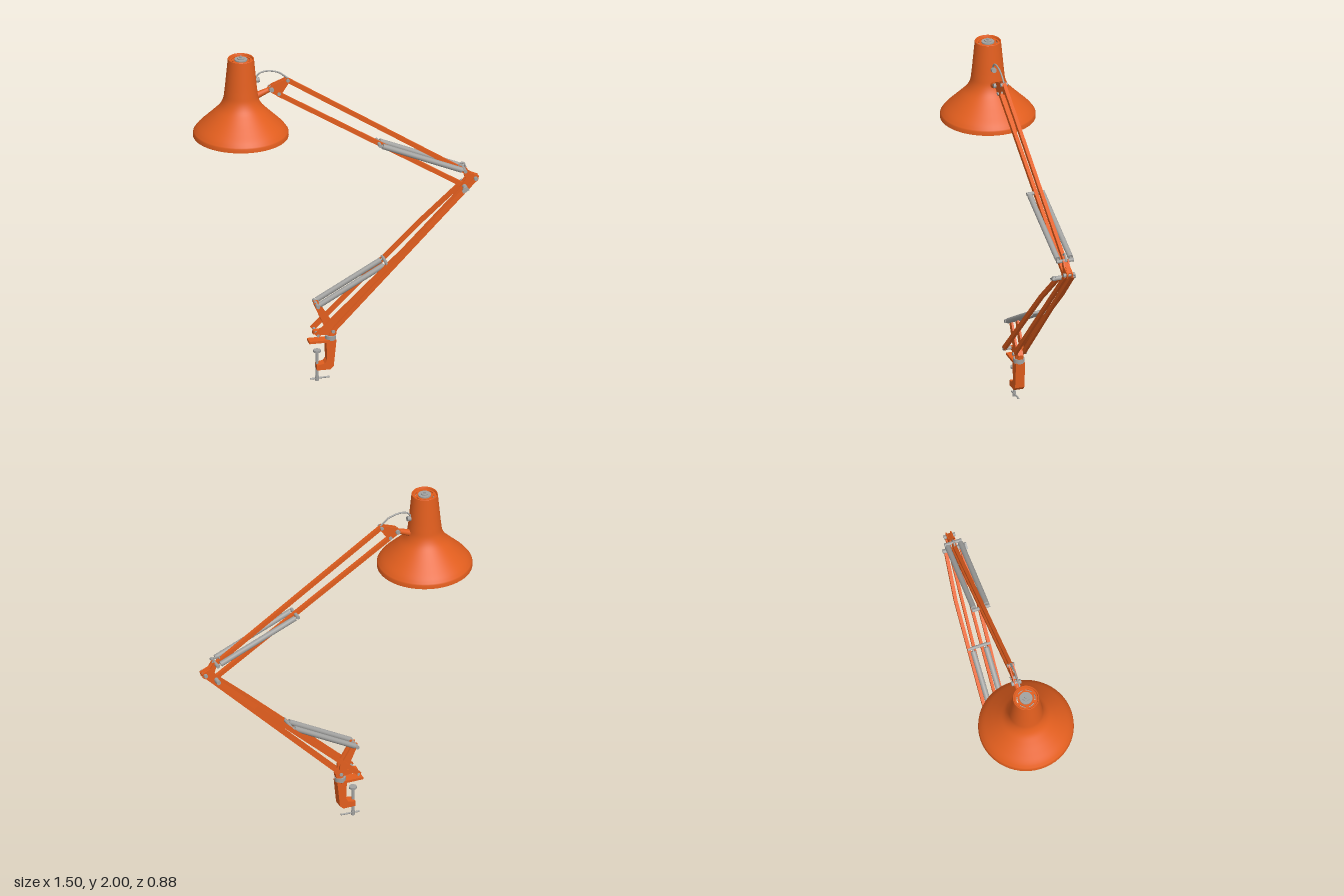
import * as THREE from 'three';

const mat = (name, color) => {
  const m = new THREE.MeshStandardMaterial({ color });
  m.name = name;
  return m;
};

export function createModel() {
  const orange = mat('orange paint', 0xe25e1e);
  const steel = mat('steel', 0xa2a2a0);
  const lining = mat('shade lining', 0xc2c2c0);
  const glass = mat('bulb glass', 0xdededa);

  // The whole lamp lies in one vertical plane, turned about y.
  const turn = Math.atan(0.477), k = 1 / Math.cos(turn);
  const root = new THREE.Group();
  root.name = 'deskLamp';
  const lamp = new THREE.Group();
  lamp.name = 'lamp';
  lamp.rotation.y = turn;
  lamp.position.z = -0.066;
  root.add(lamp);

  // x across the turned plane, y up, w sideways out of the plane
  const V = (x, y, w = 0) => new THREE.Vector3(x * k, y, w);
  const add = (name, geo, material, parent = lamp) => {
    const m = new THREE.Mesh(geo, material);
    m.name = name;
    parent.add(m);
    return m;
  };
  // Square bar between two points
  const bar = (name, a, b, h, t, material = orange) => {
    const d = b.clone().sub(a), len = d.length();
    const X = d.normalize(), Y = new THREE.Vector3(0, 0, 1).cross(X).normalize();
    const Z = X.clone().cross(Y);
    const m = add(name, new THREE.BoxGeometry(len, h, t), material);
    m.quaternion.setFromRotationMatrix(new THREE.Matrix4().makeBasis(X, Y, Z));
    m.position.copy(a).add(b).multiplyScalar(0.5);
  };
  // Round rod between two points
  const rod = (name, a, b, r0, r1 = r0, material = steel) => {
    const m = add(name, new THREE.CylinderGeometry(r1, r0, a.distanceTo(b), 16), material);
    m.position.copy(a).add(b).multiplyScalar(0.5);
    m.quaternion.setFromUnitVectors(new THREE.Vector3(0, 1, 0), b.clone().sub(a).normalize());
  };
  const bolt = (name, x, y, half, r = 0.01) => rod(name, V(x, y, -half), V(x, y, half), r);
  // Flat plate with an outline in the lamp plane
  const plate = (name, pts, w, t) => {
    const s = new THREE.Shape(pts.map(([x, y]) => new THREE.Vector2(x * k, y)));
    const g = new THREE.ExtrudeGeometry(s, { depth: t, bevelEnabled: false });
    g.translate(0, 0, w - t / 2);
    add(name, g, orange);
  };
  // Tightly wound spring with thin hooks at both ends
  const spring = (a, b, r) => {
    rod('springHook', a, b, 0.006);
    rod('spring', a.clone().lerp(b, 0.03), a.clone().lerp(b, 0.96), r);
  };
  const wire = (name, pts) =>
    add(name, new THREE.TubeGeometry(new THREE.CatmullRomCurve3(pts), 24, 0.005, 8), steel);

  // Clamp
  plate('clampBody', [[-0.052, 0.245], [0, 0.245], [-0.014, 0.09], [-0.032, 0.07], [-0.1, 0.07],
    [-0.1, 0.1], [-0.06, 0.108], [-0.048, 0.125]], 0, 0.054);
  plate('clampJaw', [[-0.14, 0.234], [-0.02, 0.234], [-0.02, 0.248], [-0.14, 0.248]], 0, 0.06);
  rod('clampScrew', V(-0.095, 0.012), V(-0.095, 0.18), 0.008);
  rod('clampPad', V(-0.095, 0.172), V(-0.095, 0.184), 0.022);
  rod('clampHandle', V(-0.13, 0.012), V(-0.03, 0.016), 0.005);
  rod('clampScrewEnd', V(-0.095, 0), V(-0.095, 0.026), 0.011);
  rod('swivelCollar', V(-0.025, 0.242), V(-0.025, 0.268), 0.032);

  // Swivel bracket and spring cranks
  rod('swivelPost', V(-0.022, 0.262), V(-0.022, 0.3), 0.024, 0.02, orange);
  plate('swivelBracket', [[-0.118, 0.284], [0, 0.268], [0.004, 0.295], [-0.02, 0.322], [-0.05, 0.308], [-0.115, 0.304]], 0, 0.03);
  bolt('basePin', -0.102, 0.295, 0.064, 0.009);
  bolt('swivelPin', -0.018, 0.3, 0.04, 0.01);
  for (const s of [-1, 1]) {
    plate('springCrank', [[-0.045, 0.29], [-0.012, 0.29], [-0.016, 0.345], [-0.088, 0.475], [-0.112, 0.472], [-0.108, 0.45]], s * 0.018, 0.012);
  }
  bolt('crankPin', -0.1, 0.463, 0.055, 0.011);

  // Lower arm: bowed outer rods and inner rods
  for (const s of [-1, 1]) {
    const path = [V(-0.11, 0.292, s * 0.054), V(0.46, 0.888, s * 0.06), V(0.663, 1.098, s * 0.043)];
    for (let i = 0; i < 2; i++) bar('lowerArmOuterRod', path[i], path[i + 1], 0.024, 0.019);
    bar('lowerArmInnerRod', V(-0.02, 0.3, s * 0.026), V(0.712, 1.13, s * 0.018), 0.024, 0.016);
    spring(V(-0.1, 0.463, s * 0.038), V(0.255, 0.683, s * 0.038), 0.0155);
  }
  bolt('lowerSpringPin', 0.255, 0.683, 0.066, 0.009);

  // Elbow
  for (const s of [-1, 1]) {
    plate('elbowPlate', [[0.636, 1.092], [0.66, 1.078], [0.73, 1.122], [0.736, 1.15], [0.69, 1.172], [0.672, 1.205],
      [0.652, 1.2], [0.668, 1.14]], s * 0.014, 0.008);
  }
  bolt('elbowLowerPin', 0.66, 1.096, 0.06, 0.013);
  bolt('elbowOuterPin', 0.718, 1.138, 0.033, 0.011);
  bolt('elbowSpringPin', 0.66, 1.196, 0.05, 0.01);
  rod('wingNutHub', V(0.655, 1.094, 0.056), V(0.655, 1.094, 0.07), 0.014);
  bar('wingNut', V(0.639, 1.085, 0.074), V(0.671, 1.103, 0.074), 0.015, 0.01, steel);

  // Upper arm
  bar('upperArmTopRod', V(-0.25, 1.832), V(0.722, 1.14), 0.025, 0.02);
  bar('upperArmBottomRod', V(-0.3, 1.755), V(0.66, 1.096), 0.025, 0.02);
  for (const s of [-1, 1]) spring(V(0.222, 1.398, s * 0.038), V(0.66, 1.196, s * 0.038), 0.0155);
  bolt('upperSpringPin', 0.222, 1.398, 0.052, 0.01);

  // Head bracket and shade joint
  for (const s of [-1, 1]) {
    plate('headBracket', [[-0.35, 1.79], [-0.335, 1.768], [-0.295, 1.742], [-0.278, 1.757], [-0.235, 1.83], [-0.25, 1.846],
      [-0.33, 1.812]], s * 0.012, 0.006);
  }
  bolt('headTopPin', -0.248, 1.832, 0.021, 0.01);
  bolt('headBottomPin', -0.294, 1.757, 0.021, 0.01);
  bolt('headTiltPin', -0.333, 1.788, 0.028, 0.013);
  rod('shadeJoint', V(-0.415, 1.75), V(-0.325, 1.79), 0.02, 0.013, orange);

  // Power cord with its gland, and the cord loop at the elbow
  wire('cord', [V(-0.415, 1.855), V(-0.392, 1.886), V(-0.355, 1.896), V(-0.295, 1.882), V(-0.245, 1.84)]);
  wire('cordLoop', [V(0.63, 1.205), V(0.64, 1.228), V(0.658, 1.232), V(0.672, 1.2)]);
  rod('cordGland', V(-0.42, 1.845), V(-0.391, 1.848), 0.014);

  // Shade
  const head = new THREE.Group();
  head.name = 'shade';
  head.position.set(-0.487 * k, 0, 0);
  lamp.add(head);
  const flare = new THREE.CatmullRomCurve3([[0.265, 1.548], [0.245, 1.575], [0.205, 1.615], [0.155, 1.664],
    [0.118, 1.705], [0.099, 1.745], [0.092, 1.79], [0.083, 1.88], [0.073, 1.985]].map(([r, y]) => new THREE.Vector3(r, y, 0)));
  const skin = flare.getPoints(32).map(p => [p.x, p.y]);
  const lathe = (name, pts, material) =>
    add(name, new THREE.LatheGeometry(pts.map(p => new THREE.Vector2(...p)), 56), material, head);
  lathe('shadeShell', [[0.266, 1.526], ...skin], orange);
  lathe('shadeRim', [[0.257, 1.525], [0.266, 1.526]], orange);
  lathe('shadeLining', [...skin.slice(4).reverse().map(([r, y]) => [r - 0.006, y]), [0.257, 1.548], [0.257, 1.525]], lining);
  lathe('topRim', [[0.073, 1.985], [0.07, 1.989], [0.066, 1.985], [0.064, 1.974]], orange);

  // Vented top with cut slots
  const top = new THREE.Shape().absarc(0, 0, 0.067, 0, Math.PI * 2);
  for (let i = 0; i < 6; i++) {
    const a = i * Math.PI / 3, b = a + 0.75;
    top.holes.push(new THREE.Path().absarc(0, 0, 0.054, a, b).absarc(0, 0, 0.047, b, a, true));
  }
  const vent = new THREE.ExtrudeGeometry(top, { depth: 0.008, bevelEnabled: false, curveSegments: 24 });
  vent.rotateX(-Math.PI / 2);
  add('ventedTop', vent, orange, head).position.y = 1.968;

  // Centre knob, bulb and its socket
  const disc = (name, r, y0, y1, material) => {
    const m = add(name, new THREE.CylinderGeometry(r, r, y1 - y0, 32), material, head);
    m.position.y = (y0 + y1) / 2;
  };
  disc('topKnob', 0.036, 1.974, 1.984, steel);
  disc('topKnobStep', 0.02, 1.982, 1.99, steel);
  disc('finial', 0.007, 1.988, 2, steel);
  add('bulb', new THREE.SphereGeometry(0.082, 32, 20), glass, head).position.y = 1.655;
  disc('bulbSocket', 0.045, 1.71, 1.9, steel);
  return root;
}
